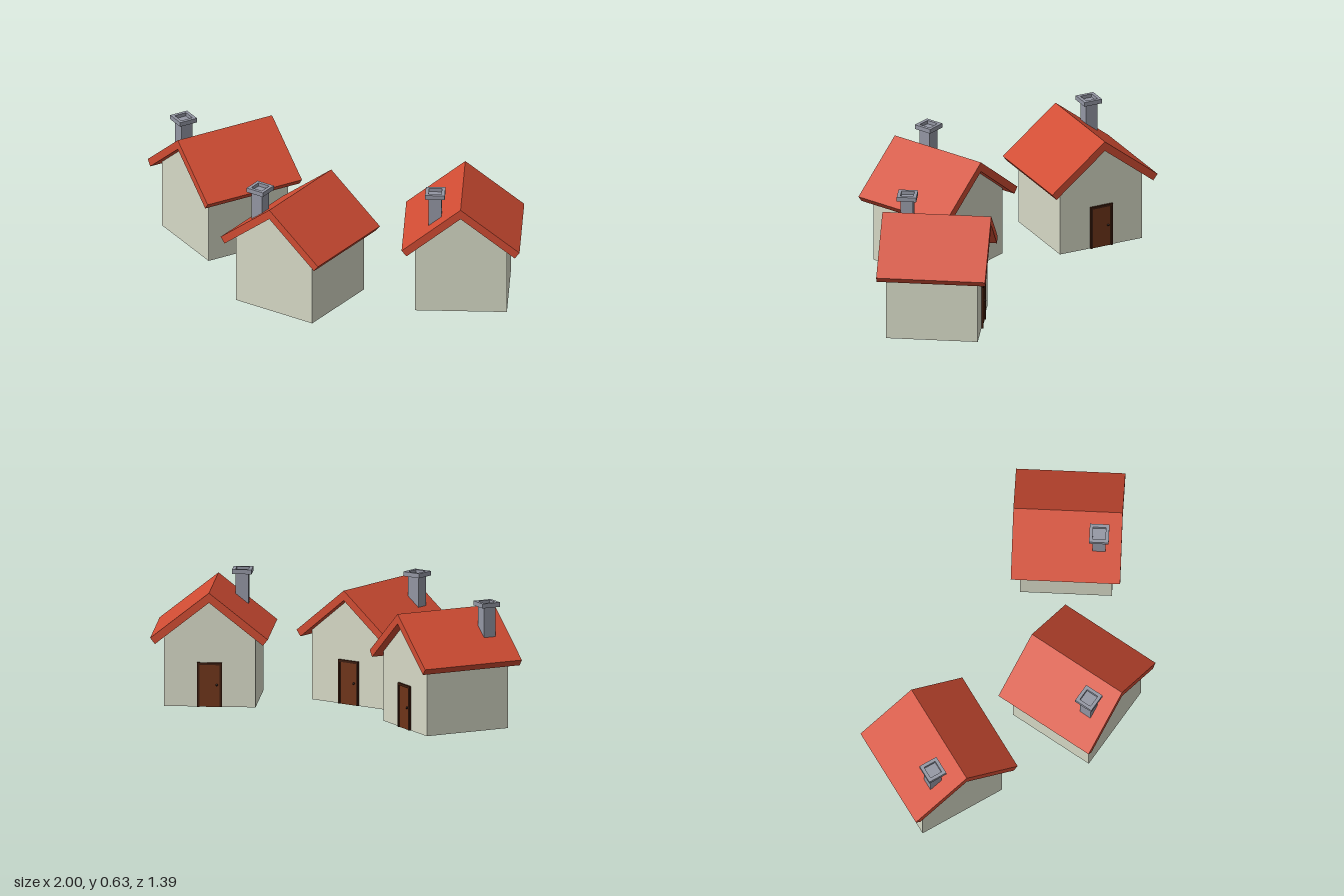
import * as THREE from 'three';

const material = (color) => new THREE.MeshStandardMaterial({ color, flatShading: true });
const MAT = {
  wall: material(0xd6d9c6),
  roof: material(0xd04c33),
  stone: material(0x9497a4),
  door: material(0x6e3419),
  frame: material(0x3c1c0e),
  knob: material(0x2a1a12),
};

// House proportions
const WALL = 0.46, RIDGE = 0.586, EAVE = 0.353;
const ROOF_HALF = 0.295, ROOF_LENGTH = 0.547, ROOF_THICK = 0.039;
const PITCH = Math.atan2(RIDGE - EAVE, ROOF_HALF);
const INNER_RIDGE = RIDGE - ROOF_THICK / Math.cos(PITCH);

function part(parent, name, geometry, mat, x = 0, y = 0, z = 0) {
  const mesh = new THREE.Mesh(geometry, mat);
  mesh.name = name;
  mesh.position.set(x, y, z);
  parent.add(mesh);
  return mesh;
}

const box = (w, h, d) => new THREE.BoxGeometry(w, h, d);

// Extrude a cross-section along z, centred on z = 0
function prism(points, depth) {
  const shape = new THREE.Shape(points.map(([x, y]) => new THREE.Vector2(x, y)));
  return new THREE.ExtrudeGeometry(shape, { depth, bevelEnabled: false }).translate(0, 0, -depth / 2);
}

function createChimney() {
  const chimney = new THREE.Group();
  chimney.name = 'chimney';
  part(chimney, 'chimneyShaft', box(0.064, 0.175, 0.064), MAT.stone, 0, 0.5275, 0);

  // Square cap with an open flue
  const cap = new THREE.Shape();
  const hole = new THREE.Path();
  const square = (path, s) => path.moveTo(-s, -s).lineTo(s, -s).lineTo(s, s).lineTo(-s, s).closePath();
  square(cap, 0.049);
  square(hole, 0.032);
  cap.holes.push(hole);
  const ring = new THREE.ExtrudeGeometry(cap, { depth: 0.023, bevelEnabled: false }).rotateX(-Math.PI / 2);
  part(chimney, 'chimneyCap', ring, MAT.stone, 0, 0.61, 0);
  chimney.position.set(-0.131, 0, 0.162);
  return chimney;
}

function createDoor() {
  const door = new THREE.Group();
  door.name = 'door';
  const w = 0.125, h = 0.225, t = 0.012, d = 0.02;
  for (const side of [-1, 1]) {
    part(door, 'doorPost', box(t, h, d), MAT.frame, side * (w - t) / 2, h / 2, 0);
  }
  part(door, 'doorLintel', box(w - 2 * t, t, d), MAT.frame, 0, h - t / 2, 0);
  part(door, 'doorLeaf', box(w - 2 * t, h - t, 0.01), MAT.door, 0, (h - t) / 2, 0);
  part(door, 'doorKnob', new THREE.SphereGeometry(0.006, 10, 8), MAT.knob, -0.036, 0.112, -0.009);
  door.position.z = -WALL / 2;
  return door;
}

function createHouse() {
  const house = new THREE.Group();
  house.name = 'house';

  // Gabled walls, tucked slightly into the roof
  const half = WALL / 2;
  const top = INNER_RIDGE + 0.004;
  const shoulder = top - half * Math.tan(PITCH);
  const walls = [[-half, 0], [half, 0], [half, shoulder], [0, top], [-half, shoulder]];
  part(house, 'walls', prism(walls, WALL), MAT.wall);

  // Roof slab with eaves cut square to the slope
  const ex = ROOF_HALF - ROOF_THICK * Math.sin(PITCH);
  const ey = EAVE - ROOF_THICK * Math.cos(PITCH);
  const roof = [[ROOF_HALF, EAVE], [0, RIDGE], [-ROOF_HALF, EAVE], [-ex, ey], [0, INNER_RIDGE], [ex, ey]];
  part(house, 'roof', prism(roof, ROOF_LENGTH), MAT.roof);

  house.add(createChimney(), createDoor());
  return house;
}

export function createModel() {
  const model = new THREE.Group();
  model.name = 'houses';
  // x, z and turn in degrees of each house
  const places = [
    [-0.663, 0.192, -10],
    [0.105, 0.353, 15],
    [0.598, -0.295, 47],
  ];
  for (const [x, z, turn] of places) {
    const house = createHouse();
    house.position.set(x, 0, z);
    house.rotation.y = THREE.MathUtils.degToRad(turn);
    model.add(house);
  }
  return model;
}
